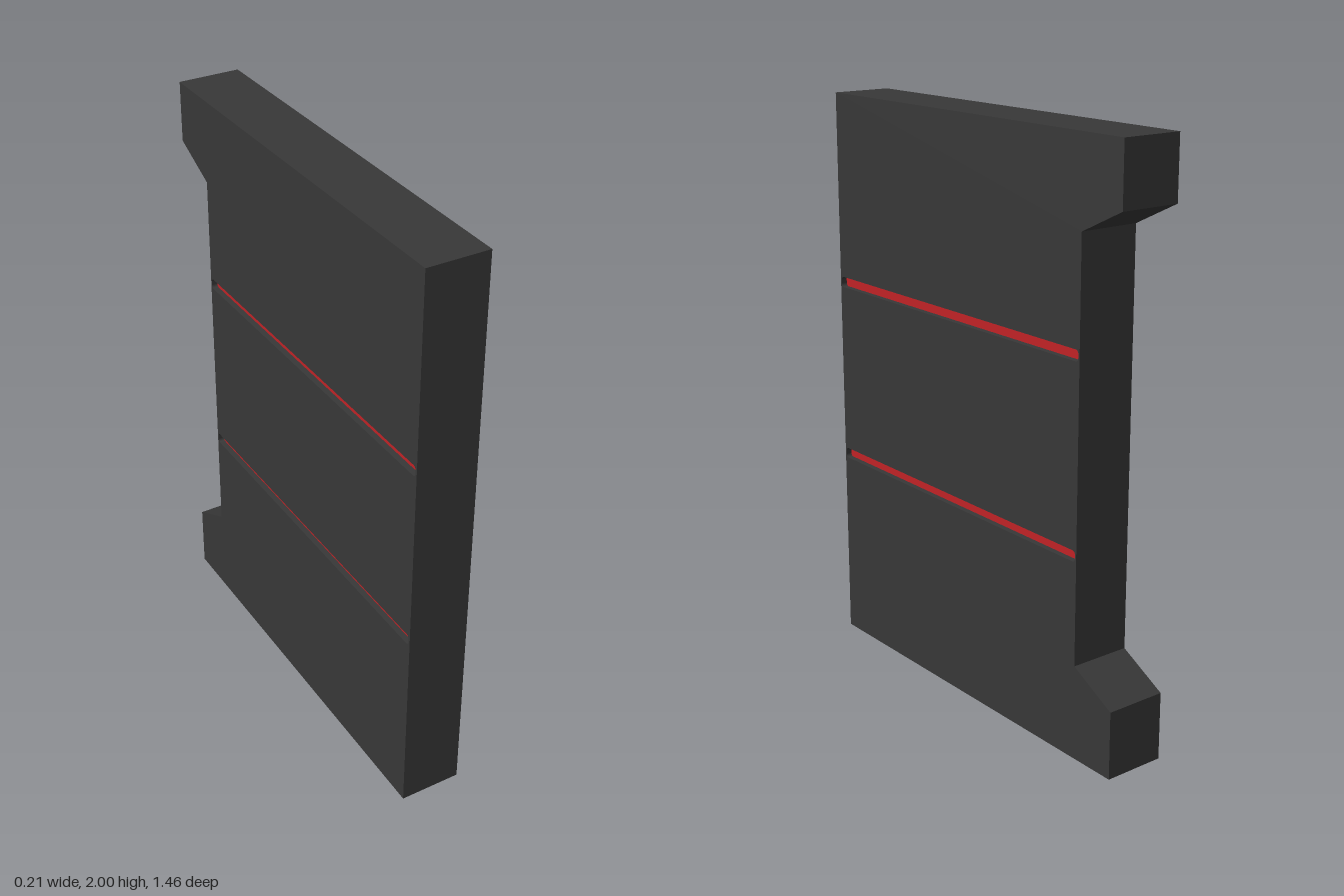
import * as THREE from 'three';

const THICK = 0.214;   // panel thickness along x
const RECESS = 0.02;   // depth of the light bars below each face
const SLOTS = [1.336, 0.694];
const SLOT_H = 0.037, SLOT_FRONT = 0.726, SLOT_BACK = -0.554, SLOT_R = 0.012;

// Side outlines are drawn with shape x = -z, then turned to face +x
function extrudeAcross(shape, depth) {
  const geo = new THREE.ExtrudeGeometry(shape, { depth, bevelEnabled: false, curveSegments: 6 });
  return geo.translate(0, 0, -depth / 2).rotateY(Math.PI / 2);
}

// Long slot outline with rounded corners
function slotOutline(path, y) {
  const a = -SLOT_FRONT, b = -SLOT_BACK, lo = y - SLOT_H / 2, hi = y + SLOT_H / 2, r = SLOT_R;
  path.moveTo(a + r, lo);
  path.lineTo(b - r, lo);
  path.absarc(b - r, lo + r, r, -Math.PI / 2, 0);
  path.absarc(b - r, hi - r, r, 0, Math.PI / 2);
  path.absarc(a + r, hi - r, r, Math.PI / 2, Math.PI);
  path.absarc(a + r, lo + r, r, Math.PI, Math.PI * 1.5);
  return path;
}

export function createModel() {
  const group = new THREE.Group();
  group.name = 'wallPanel';
  const darkGrey = new THREE.MeshStandardMaterial({ color: 0x383838 });
  darkGrey.name = 'dark grey';
  const red = new THREE.MeshStandardMaterial({ color: 0xc02226 });
  red.name = 'red';

  // Panel with a notched back edge and two slots
  const outline = new THREE.Shape([
    [-0.732, 0], [0.732, 0], [0.732, 0.233], [0.56, 0.324],
    [0.56, 1.711], [0.732, 1.793], [0.732, 2], [-0.732, 2],
  ].map(([x, y]) => new THREE.Vector2(x, y)));
  for (const y of SLOTS) outline.holes.push(slotOutline(new THREE.Path(), y));
  const panel = new THREE.Mesh(extrudeAcross(outline, THICK), darkGrey);
  panel.name = 'panel';
  group.add(panel);

  // Red bars filling the slots, recessed on both faces
  SLOTS.forEach((y, i) => {
    const bar = new THREE.Mesh(extrudeAcross(slotOutline(new THREE.Shape(), y), THICK - 2 * RECESS), red);
    bar.name = i === 0 ? 'upperStrip' : 'lowerStrip';
    group.add(bar);
  });
  return group;
}
